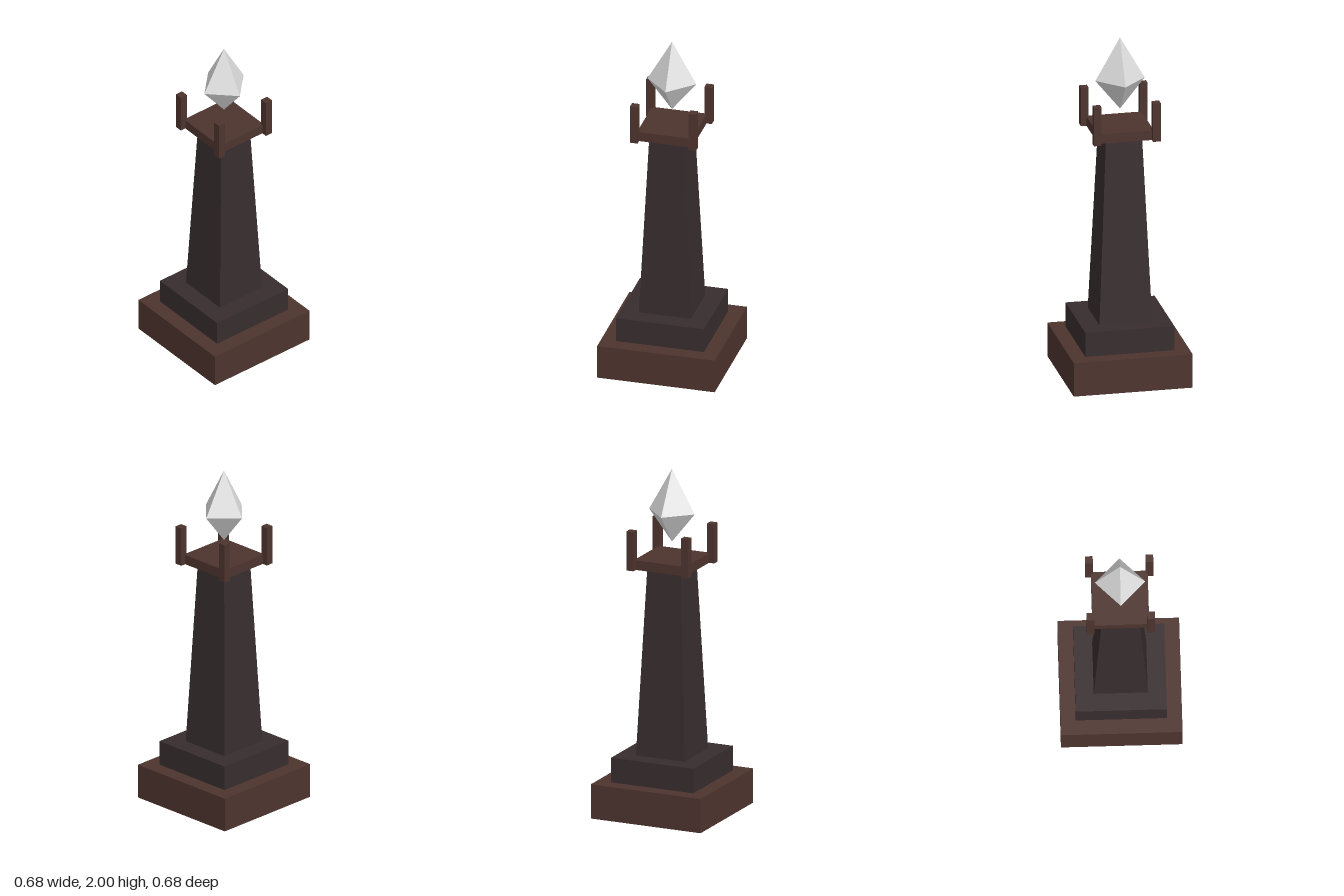
import * as THREE from 'three';

const material = (name, color) => {
  const m = new THREE.MeshStandardMaterial({ color });
  m.name = name;
  return m;
};

// Square tapered block given half widths at bottom and top, with flat faces
function taper(bottomHalf, topHalf, height) {
  const r = Math.SQRT2;
  const g = new THREE.CylinderGeometry(topHalf * r, bottomHalf * r, height, 4)
    .rotateY(Math.PI / 4).toNonIndexed();
  g.computeVertexNormals();
  return g;
}

// Four-sided crystal with its points on the x and z axes
function crystalGeometry(radius, bottom, middle, top) {
  const ring = [[radius, 0], [0, radius], [-radius, 0], [0, -radius]];
  const points = [];
  ring.forEach(([x, z], i) => {
    const [nx, nz] = ring[(i + 1) % 4];
    points.push(x, middle, z, 0, top, 0, nx, middle, nz);
    points.push(nx, middle, nz, 0, bottom, 0, x, middle, z);
  });
  const g = new THREE.BufferGeometry();
  g.setAttribute('position', new THREE.Float32BufferAttribute(points, 3));
  g.computeVertexNormals();
  return g;
}

export function createModel() {
  const group = new THREE.Group();
  group.name = 'crystalPillar';
  const brown = material('brown', 0x4e342e);
  const darkStone = material('darkStone', 0x372d2e);
  const paleCrystal = material('paleCrystal', 0xdedede);

  const add = (name, geometry, mat, x = 0, y = 0, z = 0) => {
    const mesh = new THREE.Mesh(geometry, mat);
    mesh.name = name;
    mesh.position.set(x, y, z);
    group.add(mesh);
  };
  // Square block standing between two heights
  const block = (name, width, y0, y1, mat, x = 0, z = 0) =>
    add(name, new THREE.BoxGeometry(width, y1 - y0, width), mat, x, (y0 + y1) / 2, z);

  // Stepped foot
  block('base', 0.684, 0, 0.2, brown);
  block('plinth', 0.512, 0.2, 0.344, darkStone);

  // Tapered shaft
  add('shaft', taper(0.152, 0.104, 1.088), darkStone, 0, 0.888, 0);

  // Platform with a prong at each corner
  block('platform', 0.32, 1.431, 1.487, brown);
  for (const x of [-1, 1]) {
    for (const z of [-1, 1]) block('prong', 0.044, 1.431, 1.66, brown, x * 0.17, z * 0.17);
  }

  // Floating crystal
  add('crystal', crystalGeometry(0.142, 1.574, 1.75, 2), paleCrystal);
  return group;
}
